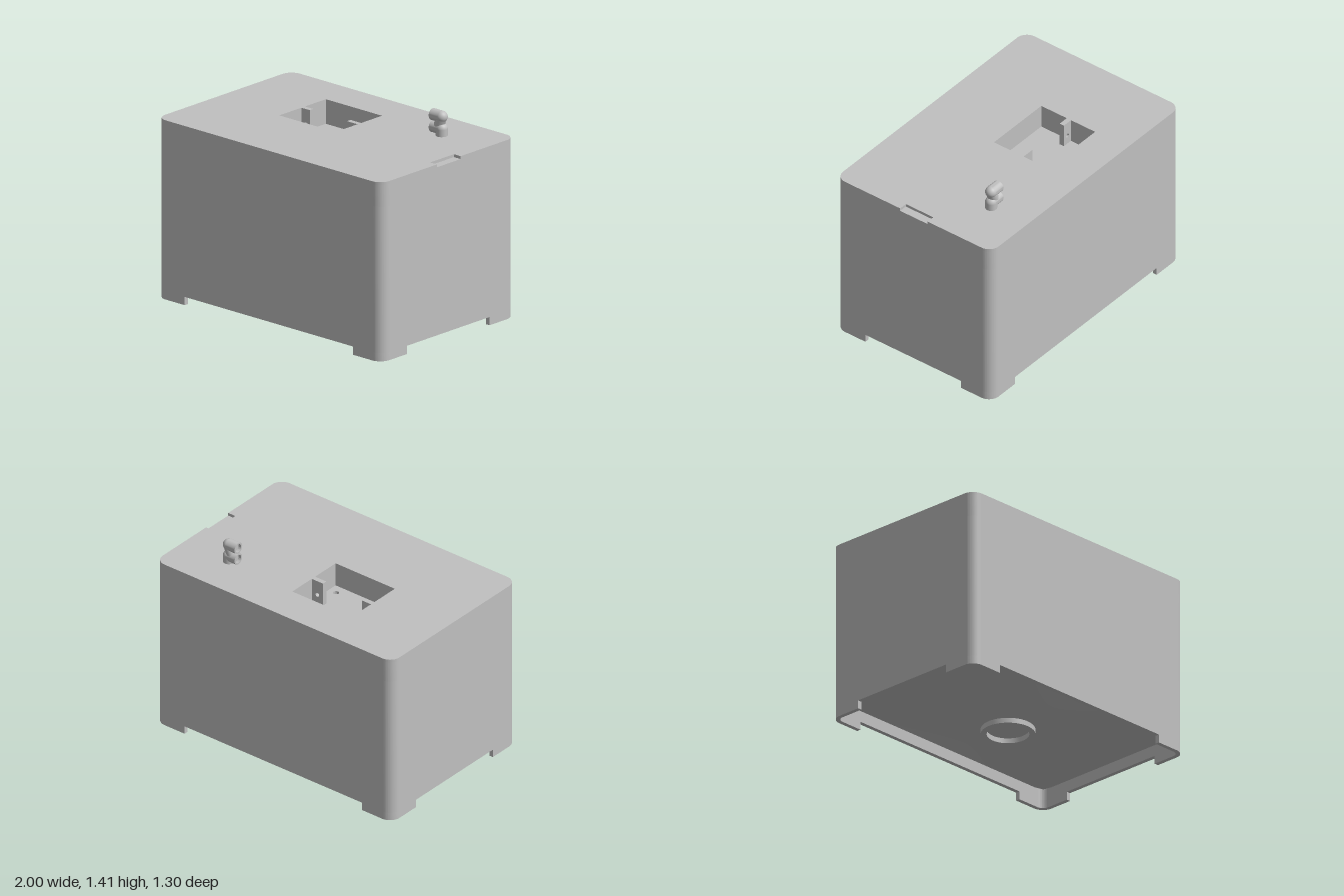
import * as THREE from 'three';
import { toCreasedNormals } from 'three/addons/utils/BufferGeometryUtils.js';

const grey = new THREE.MeshStandardMaterial({ color: 0xc0c0c0 });
grey.name = 'grey plastic';

const W = 1, D = 0.65, R = 0.08, WALL = 0.03;
const CUT = 0.057, FLOOR = 1.07, STEP = 1.22, TOP = 1.24;

// Rounded rectangle in plan (shape y = -z), optionally with a notch in the +x side
function roundedRect(w, d, r, notch, Type = THREE.Shape) {
  const s = new Type();
  s.moveTo(w, -d + r);
  if (notch) {
    s.lineTo(w, -0.11); s.lineTo(0.94, -0.11);
    s.lineTo(0.94, 0.12); s.lineTo(w, 0.12);
  }
  s.lineTo(w, d - r);
  s.absarc(w - r, d - r, r, 0, Math.PI / 2);
  s.lineTo(-w + r, d);
  s.absarc(-w + r, d - r, r, Math.PI / 2, Math.PI);
  s.lineTo(-w, -d + r);
  s.absarc(-w + r, -d + r, r, Math.PI, Math.PI * 1.5);
  s.lineTo(w - r, -d);
  s.absarc(w - r, -d + r, r, Math.PI * 1.5, Math.PI * 2);
  return s;
}

function rect(x0, x1, y0, y1, Type = THREE.Shape) {
  return new Type([[x0, y0], [x1, y0], [x1, y1], [x0, y1]].map(p => new THREE.Vector2(...p)));
}

function circleHole(x, y, r) {
  const p = new THREE.Path();
  p.absarc(x, y, r, 0, Math.PI * 2);
  return p;
}

export function createModel() {
  const model = new THREE.Group();
  model.name = 'housing';

  function add(name, geometry, parent = model) {
    const mesh = new THREE.Mesh(geometry, grey);
    mesh.name = name;
    parent.add(mesh);
    return mesh;
  }

  // Extrudes a plan shape between two heights
  function slab(name, shape, y0, y1) {
    const g = new THREE.ExtrudeGeometry(shape, { depth: y1 - y0, bevelEnabled: false, curveSegments: 10 });
    g.rotateX(-Math.PI / 2).translate(0, y0, 0);
    return add(name, toCreasedNormals(g, 0.6));
  }

  // Corner feet
  for (const sx of [1, -1]) for (const sz of [1, -1]) {
    const s = new THREE.Shape();
    s.moveTo(1, 0.4);
    s.lineTo(W, D - R);
    s.absarc(W - R, D - R, R, 0, Math.PI / 2);
    s.lineTo(0.75, D);
    s.lineTo(0.75, D - WALL);
    s.lineTo(W - R, D - WALL);
    s.absarc(W - R, D - R, R - WALL, Math.PI / 2, 0, true);
    s.lineTo(W - WALL, 0.4);
    const pts = s.getPoints(10).map(p => new THREE.Vector2(p.x * sx, p.y * sz));
    slab('foot', new THREE.Shape(pts), 0, CUT);
  }

  // Outer walls
  const shell = roundedRect(W, D, R);
  shell.holes.push(roundedRect(W - WALL, D - WALL, R - WALL, false, THREE.Path));
  slab('walls', shell, CUT, FLOOR);

  // Top deck in two layers, with the pocket and the shallow edge notch
  [[FLOOR, STEP, false], [STEP, TOP, true]].forEach(([y0, y1, notch]) => {
    const s = roundedRect(W, D, R, notch);
    s.holes.push(rect(-0.44, 0.06, -0.07, 0.38, THREE.Path));
    slab('topDeck', s, y0, y1);
  });

  // Pocket floor with a stepped hole
  [0.02, 0.01, 0].forEach((r, i) => {
    const s = rect(-0.46, 0.08, -0.09, 0.4);
    if (r) s.holes.push(circleHole(0, 0, r));
    slab('pocketFloor', s, FLOOR - 0.02 * (i + 1), FLOOR - 0.02 * i);
  });

  // Pierced tabs at both ends of the pocket
  for (const [x0, x1] of [[-0.44, -0.365], [-0.035, 0.06]]) {
    const s = rect(x0, x1, FLOOR, TOP);
    s.holes.push(circleHole((x0 + x1) / 2, 1.135, 0.015));
    const g = new THREE.ExtrudeGeometry(s, { depth: 0.035, bevelEnabled: false });
    add('pocketTab', toCreasedNormals(g.translate(0, 0, -0.178), 0.6));
  }

  // Sloped underside, from the inner wall down to the flat centre
  const IR = 0.245, IY = 0.053, OY = 0.135;
  const outer = roundedRect(W - WALL, D - WALL, R - WALL).getSpacedPoints(96);
  const pos = [], centre = [];
  const rim = p => [p.x, OY, -p.y];
  const ring = p => {
    const a = Math.atan2(p.y, p.x);
    return [Math.cos(a) * IR, IY, -Math.sin(a) * IR];
  };
  for (let i = 0; i < outer.length - 1; i++) {
    const a = outer[i], b = outer[i + 1];
    pos.push(...rim(a), ...ring(a), ...rim(b), ...rim(b), ...ring(a), ...ring(b));
    centre.push(...ring(a), 0, IY, 0, ...ring(b));
  }
  const under = new THREE.BufferGeometry();
  under.setAttribute('position', new THREE.Float32BufferAttribute([...pos, ...centre], 3));
  add('underside', toCreasedNormals(under, 0.6));

  // Lathe from [radius, height] pairs
  const lathe = (pts, n) => toCreasedNormals(
    new THREE.LatheGeometry(pts.map(p => new THREE.Vector2(...p)), n), 0.6);

  // Round collar under the base
  add('collar', lathe([[0.14, 0.06], [0.14, 0.018], [0.18, 0.018], [0.18, 0.06]], 48));

  // Stacked pipe elbows on the deck
  const pipes = new THREE.Group();
  pipes.name = 'pipeElbows';
  pipes.position.set(0.62, 0, -0.35);
  model.add(pipes);
  for (const y of [1.287, 1.37]) {
    const g = lathe([[0.04, 0], [0.04, 0.08], [0.029, 0.08], [0.029, 0.058], [0, 0.058]], 32);
    add('openPipe', g.rotateZ(Math.PI / 2).translate(0, y, 0), pipes);
    add('elbow', new THREE.SphereGeometry(0.04, 32, 16).translate(0, y, 0), pipes);
  }
  add('pipeBase', new THREE.CylinderGeometry(0.04, 0.04, 0.05, 32).translate(0, 1.262, 0), pipes);
  const link = add('pipeLink', new THREE.CylinderGeometry(0.036, 0.036, 0.08, 32), pipes);
  link.position.set(-0.014, 1.33, 0);
  link.rotation.z = -0.38;

  return model;
}
